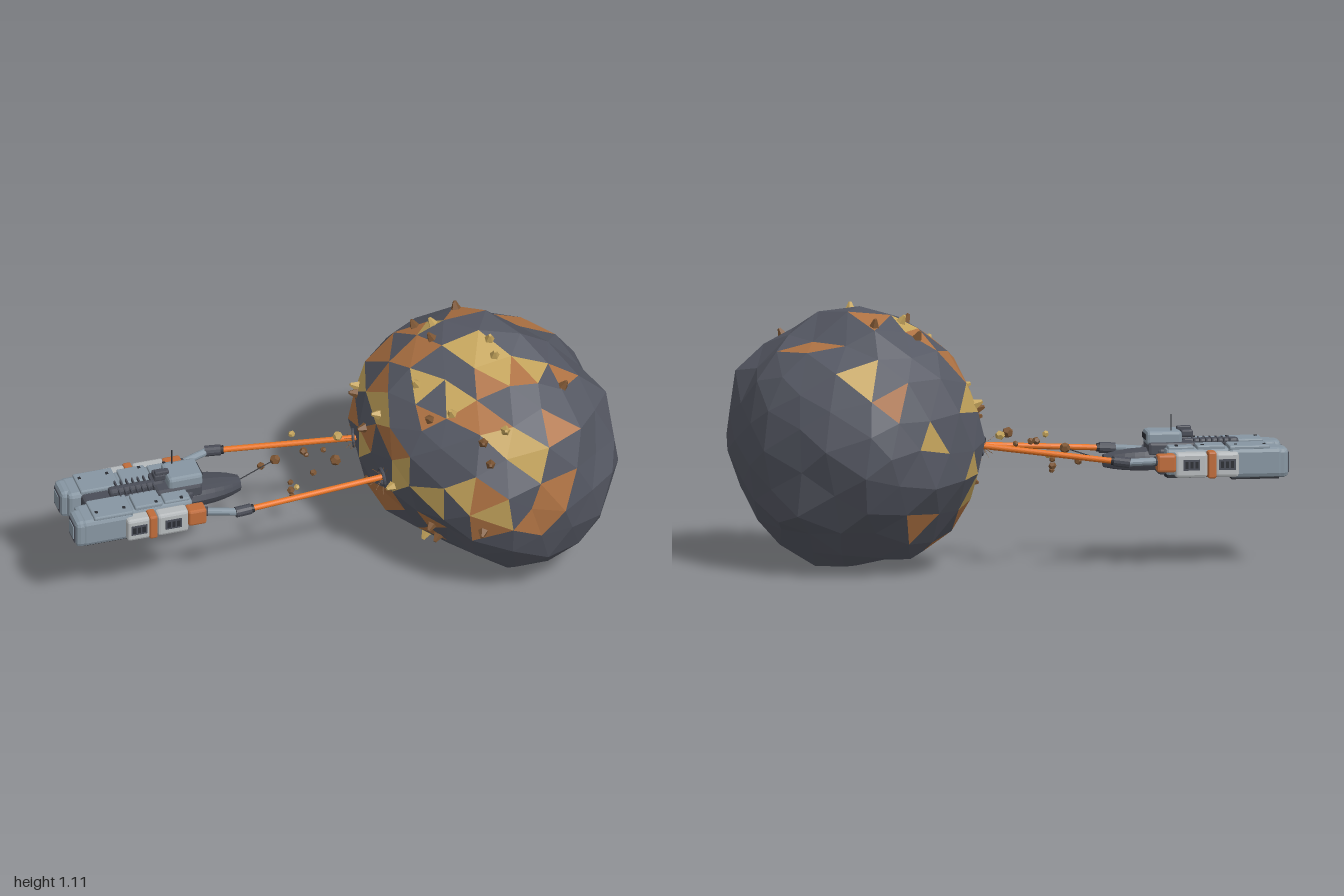
import * as THREE from 'three';
import { RoundedBoxGeometry } from 'three/addons/geometries/RoundedBoxGeometry.js';

const V = (x, y, z) => new THREE.Vector3(x, y, z);
const paint = (name, color) => {
  const m = new THREE.MeshStandardMaterial({ color, flatShading: true });
  m.name = name;
  return m;
};

export function createModel() {
  const mat = {
    rock: paint('slate rock', 0x555863), copper: paint('copper ore', 0xae7243), gold: paint('gold ore', 0xc4a45c),
    hull: paint('blue grey hull', 0x8796a2), light: paint('pale panel', 0xb6babc), trim: paint('orange trim', 0xbf6c3a),
    dark: paint('dark metal', 0x4a4d57), beam: paint('beam orange', 0xf07a28),
    black: paint('black metal', 0x2b2d33), rubble: paint('brown rubble', 0x7c5533),
  };
  const root = new THREE.Group();
  const add = (parent, name, geo, material, pos = V(0, 0, 0)) => {
    const m = new THREE.Mesh(geo, material);
    m.name = name;
    m.position.copy(pos);
    parent.add(m);
    return m;
  };
  const rod = (parent, name, a, b, r, material, sides = 12, r2 = r) => {
    const d = b.clone().sub(a);
    const m = add(parent, name, new THREE.CylinderGeometry(r2, r, d.length(), sides), material, a.clone().add(b).multiplyScalar(0.5));
    m.quaternion.setFromUnitVectors(V(0, 1, 0), d.normalize());
    return m;
  };
  let seed = 7;
  const rnd = () => (seed = (seed * 16807) % 2147483647) / 2147483647;

  // Asteroid: faceted ball blended between three outlines (across, level and lengthwise)
  const centre = V(0.32, 0.55, -0.485), radii = V(0.59, 0.55, 0.5);
  const across = [[-0.225, 0.743], [-0.206, 0.84], [-0.12, 0.953], [0, 0.988], [0.167, 1.105], [0.304, 1.105], [0.5, 1.02],
    [0.696, 0.95], [0.89, 0.807], [0.87, 0.67], [0.915, 0.528], [0.88, 0.33], [0.84, 0.23], [0.647, 0.083], [0.41, -0.005],
    [0.23, 0.04], [0.083, 0.044], [-0.03, 0.073], [-0.15, 0.254], [-0.265, 0.416], [-0.225, 0.55]];
  const level = [[0.91, -0.37], [0.88, -0.68], [0.72, -0.857], [0.56, -0.915], [0.39, -1], [0.19, -0.99], [0.02, -0.963],
    [-0.19, -0.82], [-0.206, -0.69], [-0.25, -0.45], [-0.22, -0.25], [-0.1, -0.185], [0.085, -0.106], [0.217, -0.04],
    [0.51, -0.026], [0.72, -0.106], [0.81, -0.21]];
  const lengthwise = [[-0.446, 1.11], [-0.65, 1.105], [-0.726, 0.954], [-0.876, 0.954], [-0.957, 0.79], [-0.995, 0.686],
    [-0.97, 0.47], [-0.96, 0.257], [-0.81, 0.177], [-0.59, -0.005], [-0.39, 0.054], [-0.26, 0.15], [-0.12, 0.34],
    [-0.016, 0.55], [-0.027, 0.71], [-0.167, 0.93], [-0.31, 1]];
  const guides = [
    ...across.map(([x, y]) => V(x, y, centre.z)), ...level.map(([x, z]) => V(x, centre.y, z)),
    ...lengthwise.map(([z, y]) => V(centre.x, y, z)),
  ].map((g) => {
    const dir = g.sub(centre).divide(radii), r = dir.length();
    return { dir: dir.normalize(), r };
  });
  const ball = new THREE.IcosahedronGeometry(1, 3);
  const p = ball.attributes.position, v = V(0, 0, 0);
  for (let i = 0; i < p.count; i++) {
    v.fromBufferAttribute(p, i);
    const { x, y, z } = v;
    v.set(x + 0.03 * Math.sin(17 * y + 5 * z), y + 0.03 * Math.sin(15 * z + 7 * x), z + 0.03 * Math.sin(16 * x + 6 * y)).normalize();
    const lump = 0.05 * Math.sin(11 * x + 5 * y + 1) * Math.cos(10 * z - 6 * x) + 0.035 * Math.sin(17 * y + 13 * z + 2);
    const chip = 0.022 * Math.sin(31 * x + 23 * y + 1) * Math.sin(29 * z + 19 * y - 12 * x);
    let sum = 0.03 * (0.985 + 1.2 * lump), weight = 0.03;
    for (const g of guides) {
      const d = v.dot(g.dir) - 1, w = Math.exp(d * 60) + 0.04 * Math.exp(d * 12);
      sum += w * (g.r + 0.25 * lump);
      weight += w;
    }
    v.multiplyScalar(sum / weight + chip).multiply(radii).add(centre);
    p.setXYZ(i, v.x, v.y, v.z);
  }
  ball.computeBoundingSphere();
  const body = new THREE.Mesh(ball, mat.rock);
  const cast = (from, dir) => new THREE.Raycaster(from, dir.clone().normalize()).intersectObject(body)[0];
  const fromFront = ([a, b]) => cast(V(a, b, 3), V(0, 0, -1));
  const fromTop = ([a, b]) => cast(V(a, 3, b), V(0, -1, 0));
  const fromLeft = ([a, b]) => cast(V(3, b, a), V(-1, 0, 0));
  const fromRight = ([a, b]) => cast(V(-3, b, a), V(1, 0, 0));

  // Ore veins: single facets picked by where they lie on the surface
  const ore = {};
  const vein = (kind, look, list) => list.forEach((q) => {
    const h = look(q);
    if (h) ore[h.faceIndex] = kind;
  });
  vein('copper', fromFront, [[-0.09, 0.91], [0.08, 1.0], [0.36, 0.87], [0.26, 0.73], [0.13, 0.67], [-0.04, 0.62], [0.57, 0.91],
    [0.72, 0.65], [0.82, 0.58], [0.85, 0.52], [0.65, 0.45], [0.55, 0.23], [0.36, 0.33], [0.33, 0.23], [0.11, 0.33],
    [0.2, 0.34], [-0.01, 0.35], [-0.01, 0.13], [0.12, 0.13], [-0.16, 0.6], [-0.08, 0.25], [0.05, 0.4], [0.22, 0.92], [0.5, 0.98]]);
  vein('copper', fromTop, [[-0.14, -0.74], [0.25, -0.79], [0.3, -0.78], [0.1, -0.62], [-0.02, -0.45], [0.16, -0.34], [0.19, -0.21],
    [0.43, -0.44], [0.56, -0.42], [0.69, -0.57], [0.83, -0.48], [0.56, -0.16], [0.03, -0.21]]);
  vein('copper', fromLeft, [[-0.2, 0.47], [-0.31, 0.66], [-0.45, 0.87]]);
  vein('copper', fromRight, [[-0.55, 0.28]]);
  vein('gold', fromFront, [[0.18, 0.96], [0.08, 0.84], [0.3, 1.06], [0.06, 0.72], [0.23, 0.5], [0.3, 0.6], [0.45, 0.5],
    [0.6, 0.62], [0.77, 0.74], [0.65, 0.84], [-0.16, 0.72], [-0.16, 0.35], [0.25, 0.2], [-0.02, 0.52], [-0.2, 0.43]]);
  vein('gold', fromTop, [[0.02, -0.79], [0.08, -0.45], [0.38, -0.48], [0.51, -0.53], [0.47, -0.37], [0.72, -0.24],
    [0.43, -0.21], [-0.19, -0.32]]);
  vein('gold', fromLeft, [[-0.11, 0.6], [-0.15, 0.23]]);
  vein('gold', fromRight, [[-0.5, 0.55]]);
  for (const kind of ['rock', 'copper', 'gold']) {
    const out = [];
    for (let f = 0; f < p.count / 3; f++)
      if ((ore[f] || 'rock') === kind) out.push(...p.array.slice(f * 9, f * 9 + 9));
    const g = new THREE.BufferGeometry();
    g.setAttribute('position', new THREE.Float32BufferAttribute(out, 3));
    g.computeVertexNormals();
    add(root, kind === 'rock' ? 'asteroid' : kind + 'Veins', g, mat[kind]);
  }

  // Crystal studs standing on the ore
  const stud = (look) => (q) => {
    const h = look(q);
    if (!h) return;
    const n = h.face.normal;
    rod(root, 'crystalStud', h.point.clone().addScaledVector(n, -0.005), h.point.clone().addScaledVector(n, 0.034),
      0.024, ore[h.faceIndex] === 'gold' ? mat.gold : mat.rubble, 5, 0.007);
  };
  [[0.34, 0.87], [0.6, 0.85], [0.65, 0.77], [0.06, 0.76], [-0.03, 0.64], [0.2, 0.5], [0.65, 0.45], [0.36, 0.34], [0.35, 0.25],
    [0.24, 0.18], [-0.02, 0.37], [-0.17, 0.72], [0.2, 0.94]].forEach(stud(fromFront));
  [[-0.01, -0.45], [0.09, -0.6], [0.09, -0.45], [0.42, -0.45], [0.69, -0.57], [0.36, -0.49], [0.14, -0.38], [0.42, -0.17],
    [0.65, -0.24], [-0.16, -0.25]].forEach(stud(fromTop));

  // Ship, nose along its own -z
  const ship = new THREE.Group();
  ship.name = 'miningShip';
  ship.position.set(-0.57, 0, 0.6);
  ship.rotation.y = -0.594;
  root.add(ship);
  ship.updateMatrixWorld(true);
  const box = (name, w, h, l, x, y, z, m, r = 0.012) =>
    add(ship, name, new RoundedBoxGeometry(w, h, l, 1, r), m, V(x, y, z));
  const plate = (name, w, h, l, x, y, z, m) => add(ship, name, new THREE.BoxGeometry(w, h, l), m, V(x, y, z));

  // Nose: box narrowed and flattened towards the blunt front
  const nose = new THREE.BoxGeometry(0.17, 0.1, 0.25, 4, 4, 6);
  const np = nose.attributes.position;
  for (let i = 0; i < np.count; i++) {
    const t = 0.5 - np.getZ(i) / 0.25, x = np.getX(i), y = np.getY(i);
    const round = 1 - 0.22 * Math.abs(x / 0.085) * Math.abs(y / 0.05);
    np.setXYZ(i, x * round * (1 - 0.6 * t ** 2.6), y * round * (1 - 0.45 * t ** 3) - 0.006 * t, np.getZ(i));
  }
  nose.computeVertexNormals();
  add(ship, 'nose', nose, mat.dark, V(0, 0.455, -0.255));

  box('spine', 0.16, 0.11, 0.46, 0, 0.45, 0.07, mat.dark);
  box('cabin', 0.13, 0.06, 0.15, 0, 0.546, -0.13, mat.hull, 0.014);
  box('cabinBase', 0.15, 0.06, 0.2, 0, 0.5, -0.1, mat.dark);
  plate('cabinWindow', 0.09, 0.022, 0.006, 0, 0.55, -0.206, mat.black);
  box('spineConduit', 0.04, 0.035, 0.24, 0, 0.52, 0.07, mat.dark);
  for (let i = 0; i < 7; i++) plate('conduitRib', 0.095, 0.014, 0.006, 0, 0.531, i * 0.025, mat.dark);
  box('sensorBlock', 0.05, 0.03, 0.05, -0.005, 0.56, -0.03, mat.dark, 0.006);
  box('sensorHead', 0.026, 0.018, 0.06, 0.005, 0.58, -0.04, mat.dark, 0.004);
  rod(ship, 'antenna', V(-0.045, 0.57, -0.1), V(-0.045, 0.645, -0.1), 0.0025, mat.black, 5);
  plate('bellyKeel', 0.05, 0.02, 0.3, 0, 0.387, 0.03, mat.dark);

  const targets = { 1: V(0.12, 0.5, -0.06), '-1': V(-0.11, 0.53, -0.18) };
  for (const s of [1, -1]) {
    // Engine pod with framed rear end
    box('enginePod', 0.14, 0.125, 0.23, s * 0.1, 0.45, 0.24, mat.hull, 0.018);
    box('engineEnd', 0.115, 0.125, 0.06, s * 0.11, 0.448, 0.35, mat.hull, 0.02);
    plate('engineFrame', 0.08, 0.085, 0.006, s * 0.11, 0.448, 0.38, mat.dark);
    plate('engineGlow', 0.058, 0.062, 0.008, s * 0.11, 0.448, 0.382, mat.hull);
    box('engineRoof', 0.13, 0.02, 0.17, s * 0.098, 0.513, 0.215, mat.hull, 0.006);
    // Shoulder hull, roof panels and belly
    box('shoulderHull', 0.12, 0.11, 0.27, s * 0.085, 0.455, 0, mat.hull);
    box('roofPanel', 0.1, 0.022, 0.12, s * 0.09, 0.513, 0.055, mat.hull, 0.006);
    box('roofPanel', 0.09, 0.022, 0.11, s * 0.09, 0.51, -0.07, mat.hull, 0.006);
    plate('bellyPanel', 0.11, 0.012, 0.26, s * 0.085, 0.396, 0, mat.black);
    plate('bellyPanel', 0.1, 0.012, 0.2, s * 0.1, 0.386, 0.24, mat.black);
    for (const z of [0.16, 0.28, 0.02, -0.09]) plate('roofBolt', 0.012, 0.006, 0.012, s * 0.125, 0.524, z, mat.black);
    // Side cargo pods with orange bands and slit windows
    box('sidePod', 0.06, 0.105, 0.1, s * 0.168, 0.448, 0.115, mat.light);
    box('podBand', 0.068, 0.112, 0.036, s * 0.168, 0.448, 0.052, mat.trim, 0.008);
    box('sidePod', 0.06, 0.105, 0.135, s * 0.168, 0.448, -0.035, mat.light);
    box('podCap', 0.064, 0.075, 0.08, s * 0.17, 0.458, -0.14, mat.trim, 0.01);
    for (const z of [0.115, -0.035]) {
      plate('slitFrame', 0.005, 0.045, 0.07, s * 0.199, 0.45, z, mat.dark);
      for (const k of [-1, 0, 1]) plate('slitWindow', 0.008, 0.028, 0.014, s * 0.199, 0.45, z + k * 0.021, mat.black);
    }
    // Jointed arm with a beam emitter aimed at the rock
    const b = V(s * 0.18, 0.467, -0.19), c = V(s * 0.222, 0.47, -0.31);
    rod(ship, 'armRoot', V(s * 0.17, 0.465, -0.16), b, 0.02, mat.dark);
    rod(ship, 'arm', b, c, 0.016, mat.hull);
    const elbow = ship.localToWorld(c.clone()), dir = targets[s].clone().sub(elbow).normalize();
    const tip = elbow.clone().addScaledVector(dir, 0.055);
    rod(root, 'emitter', elbow.clone().addScaledVector(dir, -0.012), tip, 0.023, mat.dark);
    // Mining beam, impact ring and sparks
    const hit = cast(tip, dir), end = hit ? hit.point : targets[s];
    rod(root, 'emitterCollar', tip, tip.clone().addScaledVector(dir, 0.012), 0.018, mat.black);
    rod(root, 'miningBeam', tip, end.clone().addScaledVector(dir, 0.02), 0.0125, mat.beam, 28);
    const ring = add(root, 'impactRing', new THREE.TorusGeometry(0.036, 0.007, 6, 14), mat.dark, end.clone().addScaledVector(dir, -0.008));
    ring.quaternion.setFromUnitVectors(V(0, 0, 1), dir);
    for (let i = 0; i < 14; i++) {
      const out = V(rnd() - 0.5, rnd() - 0.5, rnd() - 0.5).normalize().addScaledVector(dir, -0.8).normalize();
      rod(root, 'spark', end.clone().addScaledVector(out, 0.025), end.clone().addScaledVector(out, 0.05 + 0.035 * rnd()), 0.001,
        mat.rubble, 4);
    }
  }

  // Drifting ore chunks and the probe line reaching for one
  [[-0.35, 0.46, 0.15, 0.017], [-0.29, 0.51, 0.13, 0.023], [-0.29, 0.58, 0.02, 0.015], [-0.21, 0.54, 0.04, 0.017],
    [-0.22, 0.5, 0.01, 0.012], [-0.18, 0.42, 0.16, 0.017], [-0.14, 0.46, 0.17, 0.013], [-0.17, 0.4, 0.165, 0.012],
    [-0.1, 0.52, 0.11, 0.015], [-0.05, 0.56, 0.025, 0.024], [-0.14, 0.57, -0.1, 0.021], [-0.19, 0.45, 0.15, 0.013],
    [-0.16, 0.53, -0.03, 0.013]].forEach(([x, y, z, r], i) => {
    const m = add(root, 'oreChunk', new THREE.DodecahedronGeometry(r, 0), i % 4 === 2 ? mat.gold : mat.rubble, V(x, y, z));
    m.rotation.set(i, i * 2, i * 0.7);
  });
  rod(root, 'probeLine', V(-0.37, 0.45, 0.285), V(-0.29, 0.51, 0.13), 0.0025, mat.black, 5);
  return root;
}
